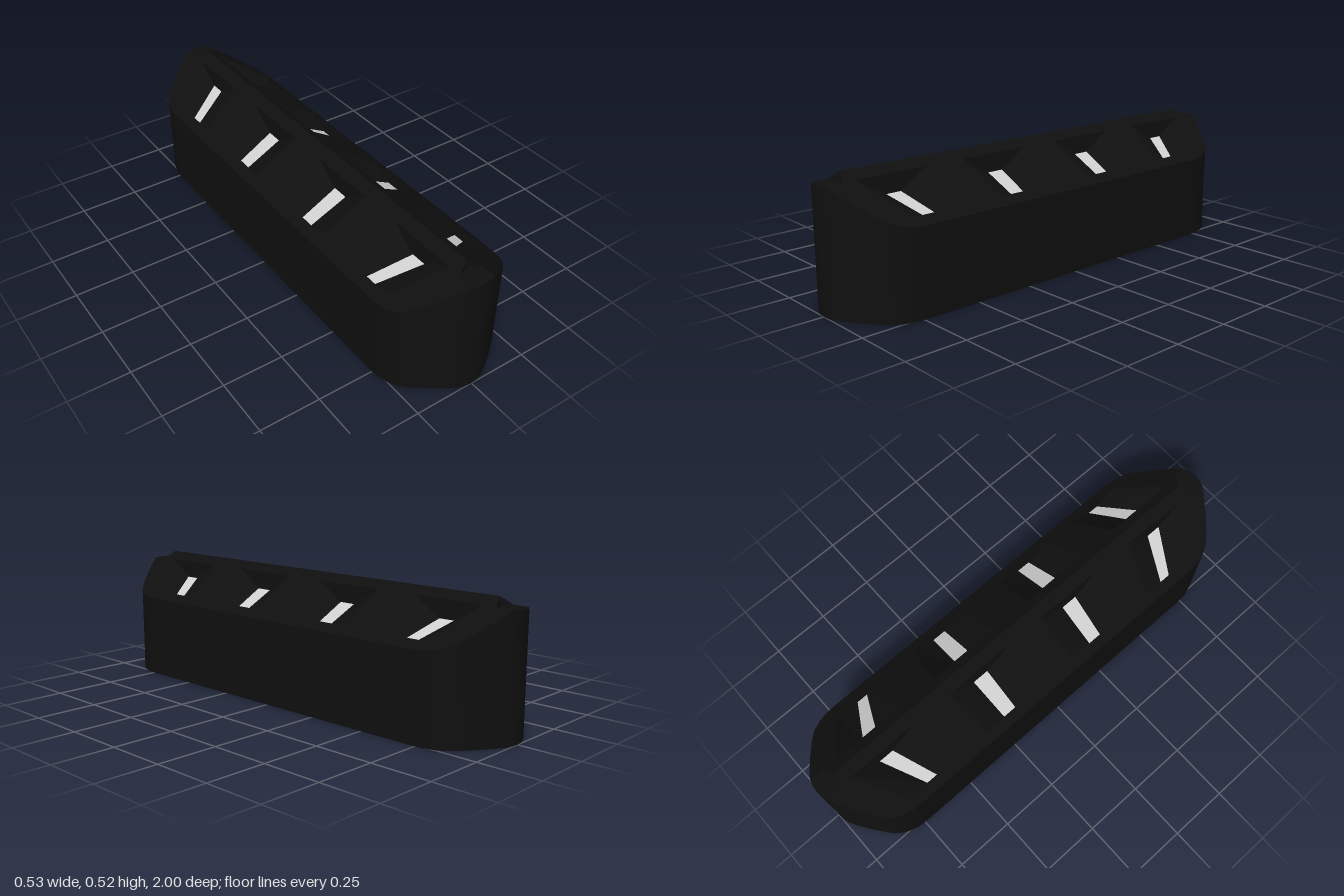
import * as THREE from 'three';

const shell = new THREE.MeshStandardMaterial({ color: 0x0f0f0f, side: THREE.DoubleSide });
shell.name = 'black shell';
const lens = new THREE.MeshStandardMaterial({ color: 0xd0d0d0, side: THREE.DoubleSide });
lens.name = 'pale lens';

const RIDGE = 0.52, EAVE = 0.346, HALF = 0.265, TIP = 0.053;
const roofY = (x) => RIDGE - (RIDGE - EAVE) * Math.abs(x) / HALF;
const TIP_Y = roofY(TIP);

// quarter of the outline, from the side to the tip: [x, z]
const quarter = [[HALF, 0.73], [0.262, 0.78], [0.25, 0.822], [0.23, 0.86], [0.2, 0.89],
  [0.14, 0.935], [0.085, 0.972], [TIP, 0.989], [0.03, 0.997], [0, 1]];

// lens corners: z range at the inner edge and at the outer edge
const pockets = [
  { inner: [0.203, 0.273], outer: [0.203, 0.262] },
  { inner: [0.685, 0.749], outer: [0.611, 0.659] },
];
const X_IN = 0.05, X_OUT = 0.22, Y_IN = 0.418, Y_OUT = 0.332;

function add(group, name, geometry, material) {
  const mesh = new THREE.Mesh(geometry, material);
  mesh.name = name;
  group.add(mesh);
}

// separate flat quads, each given as four corners
function quads(list) {
  const pos = [];
  for (const [a, b, c, d] of list) pos.push(...a, ...b, ...c, ...a, ...c, ...d);
  const g = new THREE.BufferGeometry();
  g.setAttribute('position', new THREE.Float32BufferAttribute(pos, 3));
  g.computeVertexNormals();
  return g;
}

// plan shape [x, z] laid flat, then lifted to a height rule
function plan(points, height, holes = []) {
  const flat = (pts) => pts.map(([x, z]) => new THREE.Vector2(x, -z));
  const shape = new THREE.Shape(flat(points));
  shape.holes = holes.map((h) => new THREE.Path(flat(h)));
  const g = new THREE.ShapeGeometry(shape);
  g.rotateX(-Math.PI / 2);
  const p = g.attributes.position;
  for (let i = 0; i < p.count; i++) p.setY(i, height(p.getX(i)));
  g.computeVertexNormals();
  return g;
}

// pocket corners for one side and end: lens below, flared opening in the roof
function pocketCorners({ inner, outer }, sx, sz) {
  const floor = [[X_IN, Y_IN, inner[0]], [X_IN, Y_IN, inner[1]],
    [X_OUT, Y_OUT, outer[1]], [X_OUT, Y_OUT, outer[0]]];
  const rim = [[X_IN - 0.005, inner[0] - 0.12], [X_IN - 0.005, inner[1] + 0.12],
    [X_OUT + 0.005, outer[1] + 0.1], [X_OUT + 0.005, outer[0] - 0.1]]
    .map(([x, z]) => [x, roofY(x), z]);
  const place = (list) => {
    const out = list.map(([x, y, z]) => [x * sx, y, z * sz]);
    return sx * sz < 0 ? out.reverse() : out;
  };
  return { floor: place(floor), rim: place(rim) };
}

export function createModel() {
  const group = new THREE.Group();
  group.name = 'roofMarker';

  // full outline
  const mirror = (pts, sx, sz) => pts.map(([x, z]) => [x * sx, z * sz]);
  const back = [...quarter].reverse();
  const outline = [...quarter, ...mirror(back, -1, 1).slice(1),
    ...mirror(quarter, -1, -1), ...mirror(back, 1, -1).slice(1)];
  outline.pop();
  outline.push([HALF, -0.73]);

  // upright wall with smooth ends
  const pos = [], idx = [], n = outline.length;
  outline.forEach(([x, z], i) => {
    pos.push(x, 0, z, x, Math.min(roofY(x), TIP_Y), z);
    const a = 2 * i, b = 2 * ((i + 1) % n);
    idx.push(a, a + 1, b + 1, a, b + 1, b);
  });
  const wall = new THREE.BufferGeometry();
  wall.setAttribute('position', new THREE.Float32BufferAttribute(pos, 3));
  wall.setIndex(idx);
  wall.computeVertexNormals();
  add(group, 'wall', wall, shell);

  const base = plan(outline, () => 0);
  base.rotateZ(Math.PI);
  add(group, 'base', base, shell);

  // roof slopes with flared pockets and lenses
  for (const sx of [1, -1]) {
    const side = quarter.slice(0, 8);
    const half = [[0, 0.905], [TIP, 0.927], ...[...side].reverse()];
    const edge = [...half, ...mirror([...half].reverse(), 1, -1)];
    const holes = [];
    for (const sz of [1, -1]) {
      for (const pocket of pockets) {
        const { floor, rim } = pocketCorners(pocket, sx, sz);
        holes.push(rim.map(([x, , z]) => [x, z]));
        add(group, 'lens', quads([floor]), lens);
        const walls = rim.map((r, i) => {
          const j = (i + 1) % 4;
          return [r, rim[j], floor[j], floor[i]];
        });
        add(group, 'pocketWalls', quads(walls), shell);
      }
    }
    add(group, 'roofSlope', plan(mirror(edge, sx, 1), roofY, holes), shell);
  }

  // flat notch at each tip, with its small upright step
  for (const sz of [1, -1]) {
    const tip = [[0, 0.905], [TIP, 0.927], ...quarter.slice(7),
      ...mirror(back, -1, 1).slice(1, 3), [-TIP, 0.927]];
    add(group, 'tipLedge', plan(mirror(tip, 1, sz), () => TIP_Y), shell);
    const step = [1, -1].map((sx) => {
      const q = [[0, TIP_Y, 0.905 * sz], [sx * TIP, TIP_Y, 0.927 * sz],
        [sx * TIP, TIP_Y, 0.927 * sz], [0, RIDGE, 0.905 * sz]];
      return sx * sz > 0 ? q : q.reverse();
    });
    add(group, 'tipStep', quads(step), shell);
  }
  return group;
}
